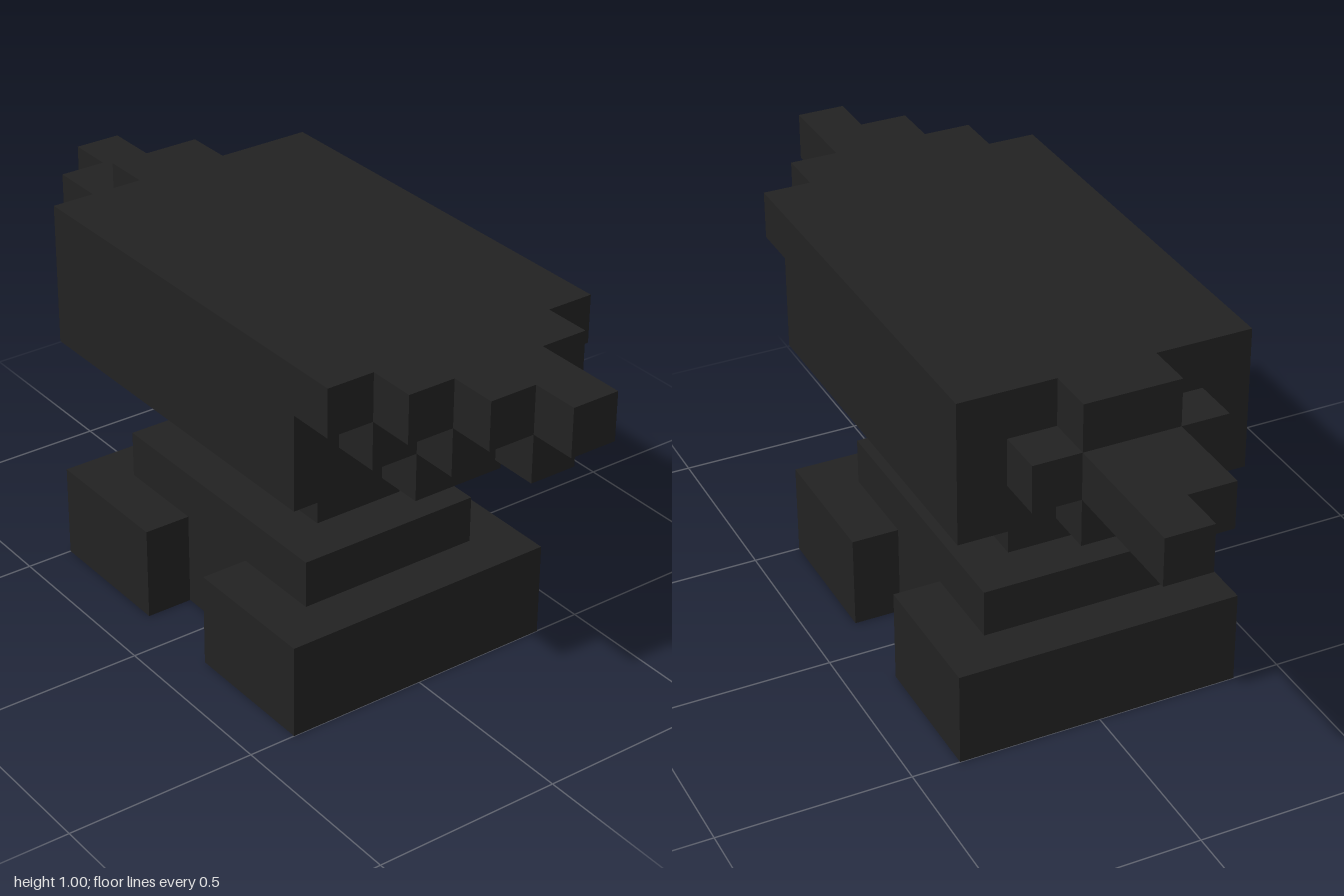
import * as THREE from 'three';

const U = 0.125; // one block

export function createModel() {
  const group = new THREE.Group();
  const iron = new THREE.MeshStandardMaterial({ color: 0x222222 });
  iron.name = 'dark iron';

  const add = (name, geometry) => {
    const mesh = new THREE.Mesh(geometry, iron);
    mesh.name = name;
    group.add(mesh);
  };

  // Box from its limits, in blocks
  const block = (name, x0, x1, y0, y1, z0, z1) => {
    const g = new THREE.BoxGeometry((x1 - x0) * U, (y1 - y0) * U, (z1 - z0) * U);
    g.translate((x0 + x1) * U / 2, (y0 + y1) * U / 2, (z0 + z1) * U / 2);
    add(name, g);
  };

  const extrude = (points, depth) => new THREE.ExtrudeGeometry(
    new THREE.Shape(points.map(([a, b]) => new THREE.Vector2(a * U, b * U))),
    { depth: depth * U, bevelEnabled: false });

  // Plan outline of [x, z] blocks raised from y0 to y1
  const slab = (name, plan, y0, y1) => {
    const g = extrude(plan.map(([x, z]) => [x, -z]), y1 - y0);
    g.rotateX(-Math.PI / 2).translate(0, y0 * U, 0);
    add(name, g);
  };

  // Foot with a notch in its front and back
  slab('foot', [
    [-4, -3], [-1, -3], [-1, -2], [1, -2], [1, -3], [4, -3],
    [4, 3], [1, 3], [1, 2], [-1, 2], [-1, 3], [-4, 3],
  ], 0, 2);
  block('footStep', -3, 3, 2, 3, -2, 2);
  block('waist', -2, 2, 3, 5, -1, 1);

  // Main body, with the top plate overhanging on the horn side
  const body = extrude([[-4, 5], [4, 5], [4, 7], [5, 7], [5, 8], [-4, 8]], 6);
  add('body', body.translate(0, 0, -3 * U));

  // Stepped horn: two tapering layers and a bracket below
  const hornPlan = [[0, -2], [1, -2], [1, -1], [3, -1], [3, 0], [2, 0], [2, 1], [1, 1], [1, 2], [0, 2]];
  const hornAt = (x) => hornPlan.map(([px, z]) => [px + x, z]);
  slab('hornTop', hornAt(5), 7, 8);
  slab('hornLower', hornAt(4), 6, 7);
  block('hornBracket', 4, 5, 5, 6, -1, 1);

  // Cross-shaped collar and the tail spike
  block('collarTop', -5, -4, 7, 8, -1, 1);
  block('collarMiddle', -5, -4, 6, 7, -2, 2);
  block('collarBottom', -5, -4, 5, 6, -1, 1);
  slab('tailSpike', [[-5, -1], [-8, -1], [-8, 0], [-7, 0], [-7, 1], [-5, 1]], 6, 7);

  return group;
}
